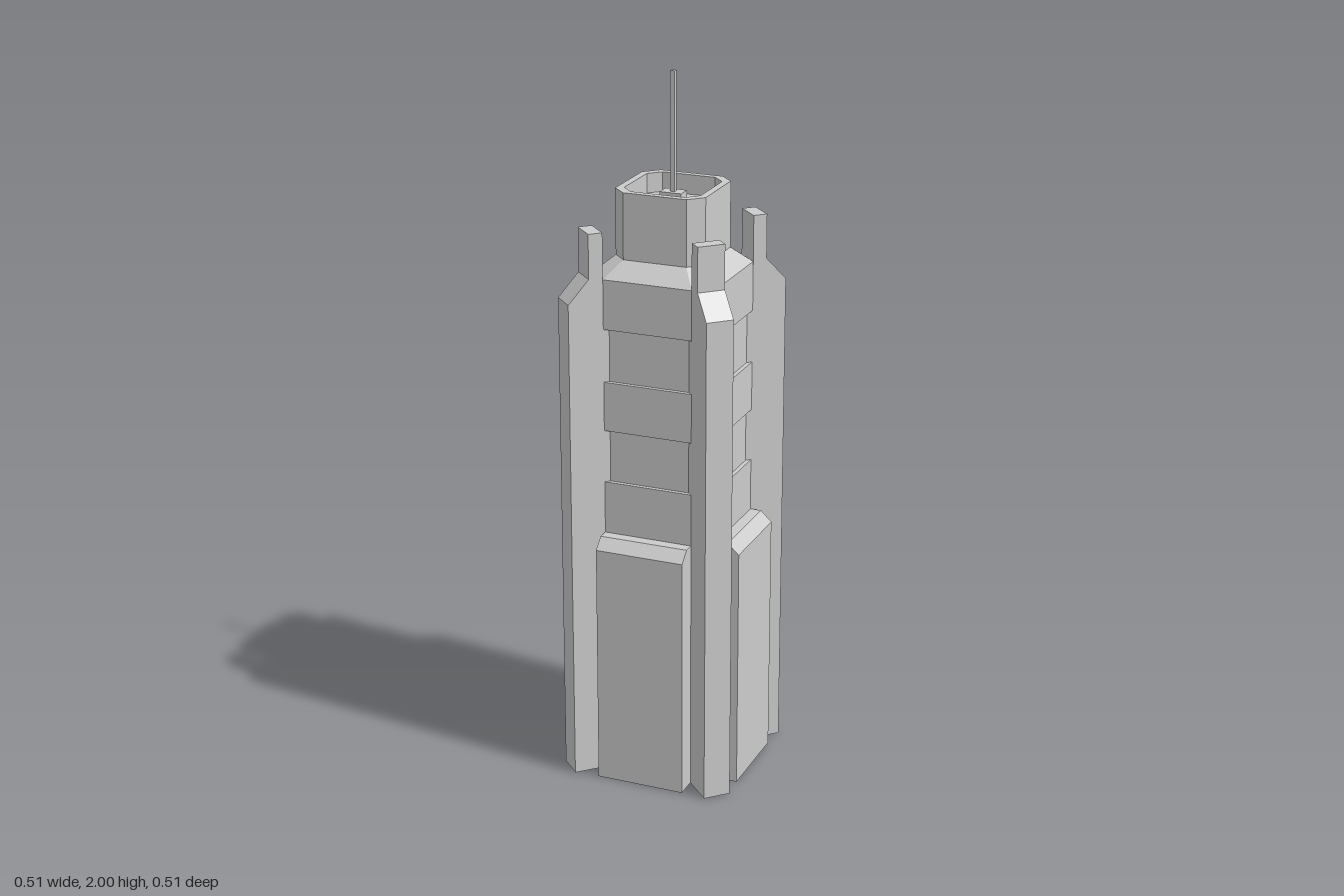
import * as THREE from 'three';

const material = new THREE.MeshStandardMaterial({ color: 0xcccccc, flatShading: true });

function add(parent, name, geometry) {
  const mesh = new THREE.Mesh(geometry, material);
  mesh.name = name;
  parent.add(mesh);
  return mesh;
}

// Corners of a square with cut corners: half = half width, flat = half length of each side
function octagon(half, flat) {
  return [[flat, half], [half, flat], [half, -flat], [flat, -half],
    [-flat, -half], [-half, -flat], [-half, flat], [-flat, half]]
    .map(([x, z]) => new THREE.Vector2(x, z));
}

// Solid stacked from octagonal sections [y, half, flat], listed in path order and capped at both ends
function octagonLoft(sections) {
  const positions = [];
  const rings = sections.map(([y, half, flat]) =>
    octagon(half, flat).map((p) => new THREE.Vector3(p.x, y, p.y)));
  const tri = (...points) => points.forEach((p) => positions.push(p.x, p.y, p.z));
  for (let s = 0; s < rings.length - 1; s++) {
    const a = rings[s], b = rings[s + 1];
    for (let i = 0; i < 8; i++) {
      const j = (i + 1) % 8;
      tri(a[i], a[j], b[j]);
      tri(a[i], b[j], b[i]);
    }
  }
  const first = rings[0], last = rings[rings.length - 1];
  for (let i = 1; i < 7; i++) {
    tri(first[0], first[i + 1], first[i]);
    tri(last[0], last[i], last[i + 1]);
  }
  const geometry = new THREE.BufferGeometry();
  geometry.setAttribute('position', new THREE.Float32BufferAttribute(positions, 3));
  geometry.computeVertexNormals();
  return geometry;
}

// Side profile (distance from axis, height) given thickness and facing +x
function profileSlab(points, width) {
  const shape = new THREE.Shape(points.map(([r, y]) => new THREE.Vector2(r, y)));
  const geometry = new THREE.ExtrudeGeometry(shape, { depth: width, bevelEnabled: false });
  return geometry.translate(0, 0, -width / 2);
}

export function createModel() {
  const tower = new THREE.Group();
  tower.name = 'tower';

  // Main shaft with two recessed bands and sloped shoulders
  const wide = [0.183, 0.128], inset = [0.171, 0.128];
  const sections = [[0, ...wide]];
  for (const [low, high] of [[0.88, 1.03], [1.17, 1.32]]) {
    sections.push([low, ...wide], [low, ...inset], [high, ...inset], [high, ...wide]);
  }
  sections.push([1.46, ...wide], [1.505, 0.13, 0.091]);
  add(tower, 'shaft', octagonLoft(sections));

  // Crown with a sunken roof behind its parapet
  add(tower, 'crown', octagonLoft([
    [1.5, 0.13, 0.091], [1.69, 0.13, 0.091], [1.69, 0.11, 0.077], [1.635, 0.11, 0.077],
  ]));

  // Corner buttresses with sloped shoulders and pinnacles, and lower wall bays
  const buttress = profileSlab([
    [0.19, 0], [0.319, 0], [0.319, 1.4], [0.26, 1.465],
    [0.26, 1.59], [0.22, 1.59], [0.22, 1.45], [0.19, 1.45],
  ], 0.078);
  const bay = profileSlab([
    [0.17, 0], [0.247, 0], [0.247, 0.7], [0.215, 0.73], [0.17, 0.73],
  ], 0.256);
  for (let i = 0; i < 4; i++) {
    add(tower, 'cornerButtress', buttress).rotation.y = Math.PI / 4 + i * Math.PI / 2;
    add(tower, 'lowerBay', bay).rotation.y = i * Math.PI / 2;
  }

  // Rooftop housing and mast
  add(tower, 'roofHousing', new THREE.BoxGeometry(0.062, 0.04, 0.042)).position.y = 1.652;
  add(tower, 'mast', new THREE.BoxGeometry(0.013, 0.34, 0.013)).position.y = 1.83;

  return tower;
}
